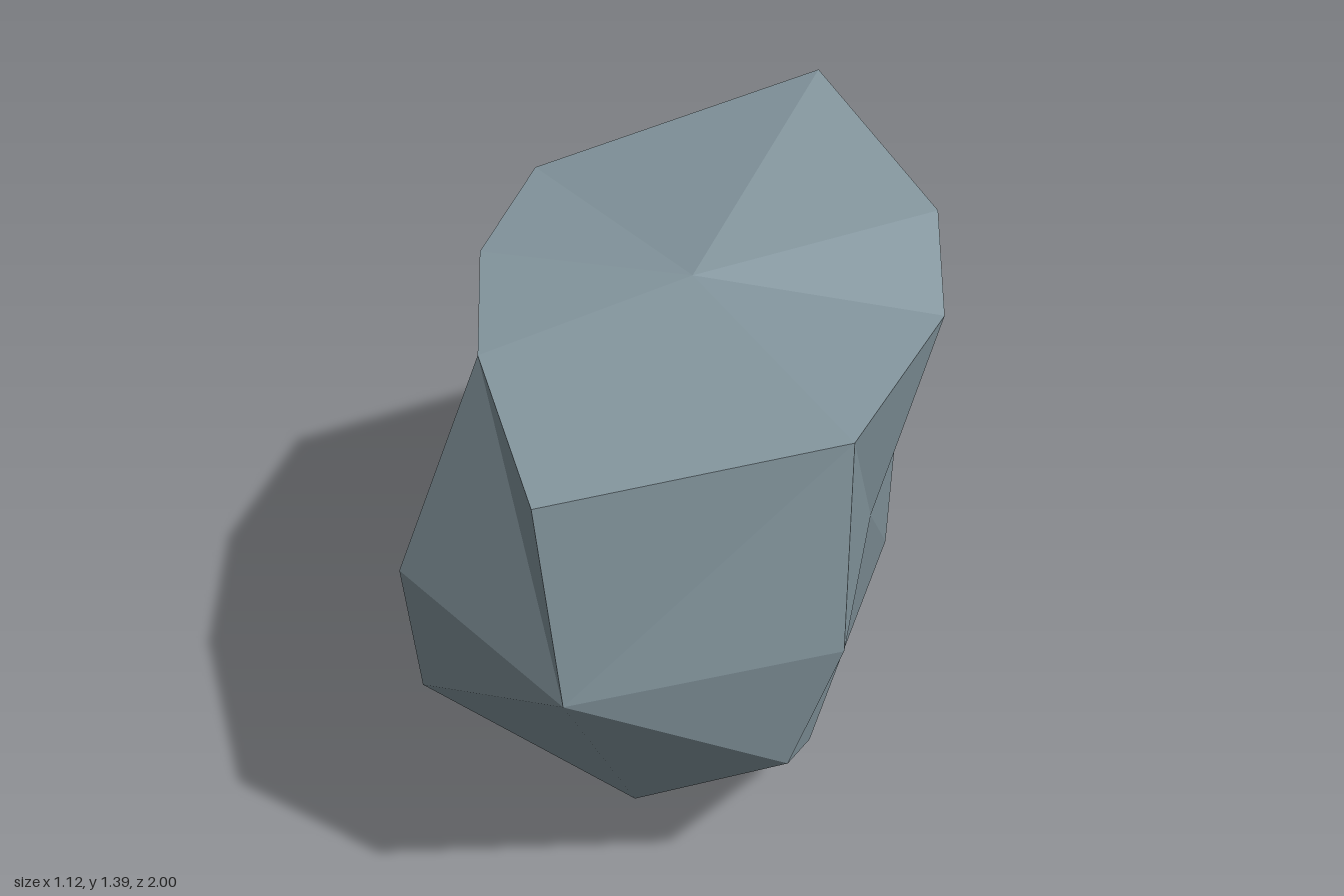
import * as THREE from 'three';

// Horizontal cross-sections of the boulder, each running
// front, front right, right, back right, back, back left, left, front left.
const RINGS = [
  [[-0.03, 1.30, 1.00], [0.53, 1.30, 0.57], [0.56, 1.20, -0.18], [0.47, 1.305, -0.49],
    [0.04, 1.39, -1.00], [-0.565, 1.25, -0.53], [-0.505, 1.305, 0.02], [-0.33, 1.325, 0.50]],
  [[0.01, 0.78, 0.96], [0.53, 0.78, 0.595], [0.465, 0.80, 0.09], [0.42, 0.83, -0.385],
    [0.015, 0.78, -0.81], [-0.51, 0.75, -0.48], [-0.51, 0.78, 0.02], [-0.51, 0.78, 0.59]],
  [[0.035, 0.22, 0.56], [0.41, 0.44, 0.595], [0.36, 0.19, 0.19], [0.395, 0.38, -0.42],
    [0.015, 0.25, -0.48], [-0.405, 0.345, -0.46], [-0.46, 0.30, -0.025], [-0.51, 0.39, 0.50]],
];
const TOP = [0.015, 1.33, 0.03];
const BOTTOM = [0.11, 0, -0.05];

function rockGeometry() {
  const points = [];
  const tri = (a, b, c) => points.push(...a, ...b, ...c);
  const [upper, , lower] = RINGS;
  for (let i = 0; i < 8; i++) {
    const j = (i + 1) % 8;
    // Caps fan out from the top and bottom points
    tri(TOP, upper[i], upper[j]);
    tri(BOTTOM, lower[j], lower[i]);
    // Side bands, with diagonals meeting at the centre of each side
    for (let band = 0; band < 2; band++) {
      const a = RINGS[band][i], b = RINGS[band][j];
      const c = RINGS[band + 1][j], d = RINGS[band + 1][i];
      if ((i + band) % 2 === 0) {
        tri(d, c, b);
        tri(d, b, a);
      } else {
        tri(d, c, a);
        tri(c, b, a);
      }
    }
  }
  const geometry = new THREE.BufferGeometry();
  geometry.setAttribute('position', new THREE.Float32BufferAttribute(points, 3));
  geometry.computeVertexNormals(); // unshared corners give flat facets
  return geometry;
}

export function createModel() {
  const stone = new THREE.MeshStandardMaterial({ color: 0x84969e });
  stone.name = 'blue grey stone';
  stone.flatShading = true;

  const group = new THREE.Group();
  group.name = 'rock';
  const boulder = new THREE.Mesh(rockGeometry(), stone);
  boulder.name = 'boulder';
  group.add(boulder);
  return group;
}
